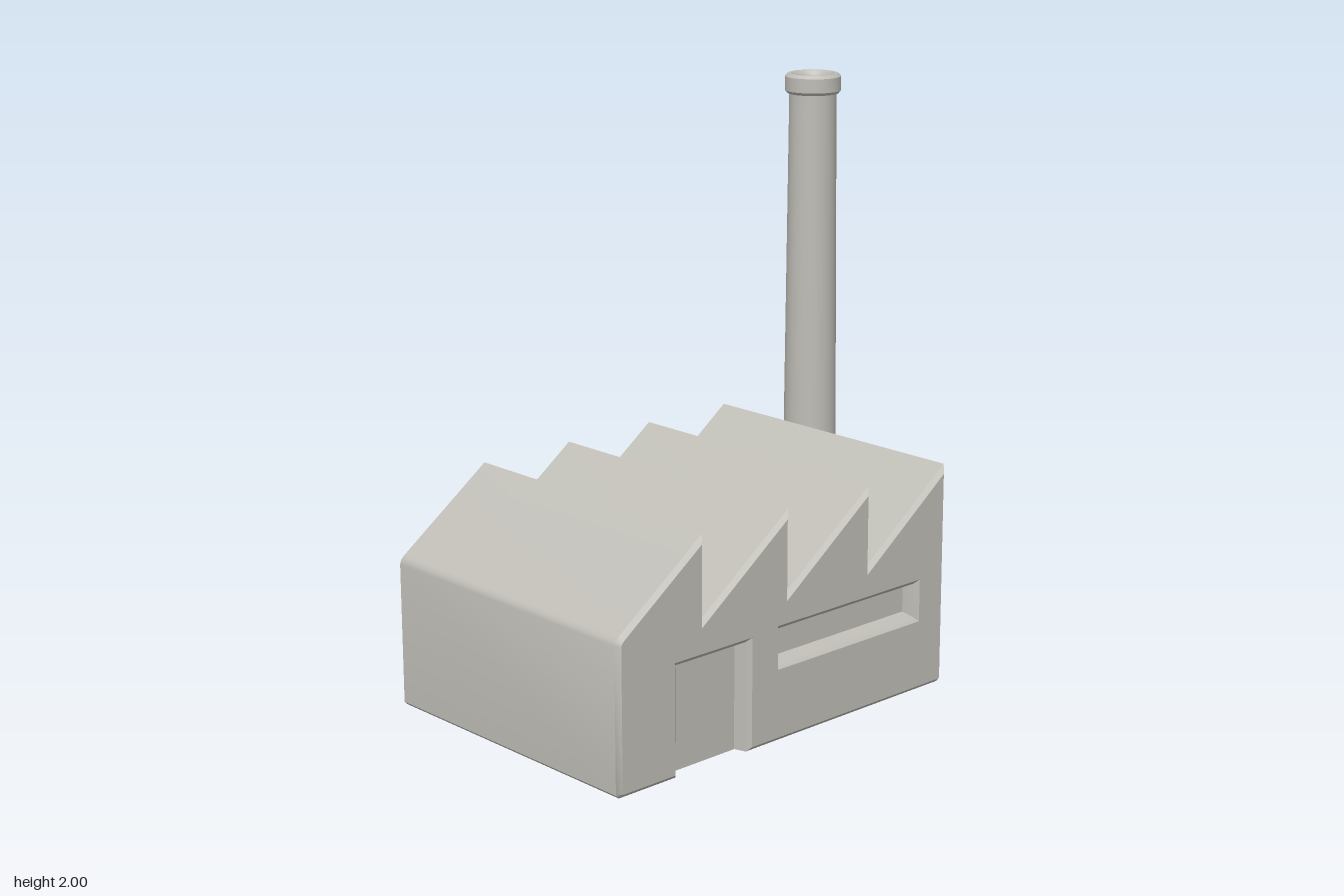
import * as THREE from 'three';
import { mergeGeometries, toCreasedNormals } from 'three/addons/utils/BufferGeometryUtils.js';
import { RoundedBoxGeometry } from 'three/addons/geometries/RoundedBoxGeometry.js';

const concrete = new THREE.MeshStandardMaterial({ color: 0xbfbdb6 });
concrete.name = 'concrete';

const BEVEL = 0.015;
const FRONT = 0.555;          // half depth of the hall
const EDGE = FRONT - BEVEL;   // where the bevel begins
const RECESS_Z = 0.5;         // back of the front recesses

// Strip of quads between two loops of [x, y] points at two z values
function loft(a, za, b, zb, keep = () => true) {
  const pos = [];
  for (let i = 0; i < a.length; i++) {
    const j = (i + 1) % a.length;
    if (!keep(a[i], a[j], i)) continue;
    const [p, q, r, s] = [[...a[i], za], [...a[j], za], [...b[j], zb], [...b[i], zb]];
    pos.push(...p, ...q, ...r, ...p, ...r, ...s);
  }
  const g = new THREE.BufferGeometry();
  g.setAttribute('position', new THREE.Float32BufferAttribute(pos, 3));
  return g;
}

// Flat face from an outline and optional holes, facing +z
function face(outline, z = 0, holes = []) {
  const toVec = (l) => l.map(([x, y]) => new THREE.Vector2(x, y));
  const shape = new THREE.Shape(toVec(outline));
  for (const h of holes) shape.holes.push(new THREE.Path(toVec(h)));
  const g = new THREE.ShapeGeometry(shape).toNonIndexed();
  g.deleteAttribute('uv');
  g.deleteAttribute('normal');
  return g.translate(0, 0, z);
}

// Moves a counter-clockwise outline inwards by d with mitred corners
function inset(loop, d) {
  const n = loop.length;
  return loop.map(([x, y], i) => {
    const a = loop[(i + n - 1) % n], b = loop[(i + 1) % n];
    const l1 = Math.hypot(x - a[0], y - a[1]), l2 = Math.hypot(b[0] - x, b[1] - y);
    const n1 = [-(y - a[1]) / l1, (x - a[0]) / l1];
    const n2 = [-(b[1] - y) / l2, (b[0] - x) / l2];
    const k = d / (1 + n1[0] * n2[0] + n1[1] * n2[1]);
    return [x + (n1[0] + n2[0]) * k, y + (n1[1] + n2[1]) * k];
  });
}

const rect = (x0, y0, x1, y1) => [[x0, y0], [x1, y0], [x1, y1], [x0, y1]];

// Recess stepping through [loop, z] pairs from the wall inwards, closed by a panel
function recess(steps) {
  const parts = [];
  for (let i = 1; i < steps.length; i++) parts.push(loft(...steps[i - 1], ...steps[i]));
  parts.push(face(...steps[steps.length - 1]));
  return parts;
}

function mesh(name, parts) {
  const list = (Array.isArray(parts) ? parts : [parts]).map((g) => {
    const c = g.index ? g.toNonIndexed() : g;
    c.deleteAttribute('uv');
    c.deleteAttribute('normal');
    return c;
  });
  const geo = mergeGeometries(list);
  geo.computeVertexNormals();
  const m = new THREE.Mesh(toCreasedNormals(geo, 0.55), concrete);
  m.name = name;
  return m;
}

export function createModel() {
  const model = new THREE.Group();
  model.name = 'factory';
  const hall = new THREE.Group();
  hall.name = 'hall';
  model.add(hall);

  // Saw-tooth profile, counter-clockwise from the front
  const peaks = [0.56, 0.19, -0.185, -0.56];
  const TOP = 0.78, VALLEY = 0.505, SILL = 0.012;
  const upper = [[0.56, SILL], [0.56, TOP]];
  for (const x of peaks.slice(1)) upper.push([x, VALLEY], [x, TOP]);
  upper.push([-0.908, 0.527], [-0.92, 0.515], [-0.925, 0.5], [-0.925, SILL]);
  const left = [-0.913, 0], right = [0.548, 0];
  const profile = [left, right, ...upper];

  // Side walls and roof slopes; the glazed upright faces are made below
  const isUpright = (a, b) => a[0] === b[0] && b[1] === TOP;
  hall.add(mesh('wallsAndRoof', loft(profile, -EDGE, profile, EDGE,
    (a, b, i) => i > 0 && !isUpright(a, b))));

  // Back wall with bevelled rim
  const backRim = inset(profile, BEVEL);
  const backFace = face(backRim.map(([x, y]) => [-x, y])).rotateY(Math.PI).translate(0, 0, -FRONT);
  hall.add(mesh('backWall', [loft(backRim, -FRONT, profile, -EDGE), backFace]));

  // Front wall with doorway notch and window opening
  const door = [[-0.675, 0], [-0.675, 0.375], [-0.37, 0.375], [-0.37, 0]];
  const doorBack = [[-0.663, 0], [-0.663, 0.363], [-0.382, 0.363], [-0.382, 0]];
  const frontEdge = [left, ...door, right, ...upper];
  const frontRim = inset(frontEdge, BEVEL);
  const opening = rect(-0.24, 0.25, 0.435, 0.4);
  hall.add(mesh('frontWall', [loft(frontEdge, EDGE, frontRim, FRONT), face(frontRim, FRONT, [opening])]));
  hall.add(mesh('doorway', [
    loft(doorBack, RECESS_Z, door, EDGE, (a, b, i) => i < 3),
    face(doorBack, RECESS_Z),
  ]));
  hall.add(mesh('frontWindow', recess([
    [opening, FRONT],
    [inset(opening, BEVEL), EDGE],
    [rect(-0.207, 0.277, 0.41, 0.366), RECESS_Z],
  ])));

  // Underside, cut out at the doorway
  const under = [[left[0], EDGE], [left[0], -EDGE], [right[0], -EDGE], [right[0], EDGE],
    [door[3][0], EDGE], [doorBack[3][0], RECESS_Z], [doorBack[0][0], RECESS_Z], [door[0][0], EDGE]];
  hall.add(mesh('underside', face(under).rotateX(Math.PI / 2)));

  // Upright roof faces with long splayed windows, facing +x
  peaks.forEach((x, i) => {
    const glass = rect(-0.505, 0.57, 0.505, 0.765);
    const wall = rect(-EDGE, i === 0 ? SILL : VALLEY, EDGE, TOP);
    const m = mesh('roofWindow', [
      face(wall, 0, [glass]),
      ...recess([[glass, 0], [rect(-0.48, 0.602, 0.48, 0.735), -0.035]]),
    ]);
    m.rotation.y = Math.PI / 2;
    m.position.x = x;
    hall.add(m);
  });

  // Chimney: square footing, tapered shaft, collar and hollow top
  const chimney = new THREE.Group();
  chimney.name = 'chimney';
  chimney.position.set(0.782, 0, -0.315);
  const footing = new THREE.Mesh(new RoundedBoxGeometry(0.275, 0.09, 0.275, 2, 0.008), concrete);
  footing.name = 'chimneyFooting';
  footing.position.y = 0.045;
  const outline = [[0.101, 0.085], [0.084, 1.93], [0.092, 1.93], [0.1, 1.94], [0.1, 1.99],
    [0.09, 2], [0.078, 2], [0.068, 1.99], [0.062, 1.97], [0.062, 1.88], [0, 1.88]];
  const shaft = new THREE.LatheGeometry(outline.map(([r, y]) => new THREE.Vector2(r, y)), 32);
  chimney.add(footing, mesh('chimneyStack', shaft));
  model.add(chimney);

  return model;
}
